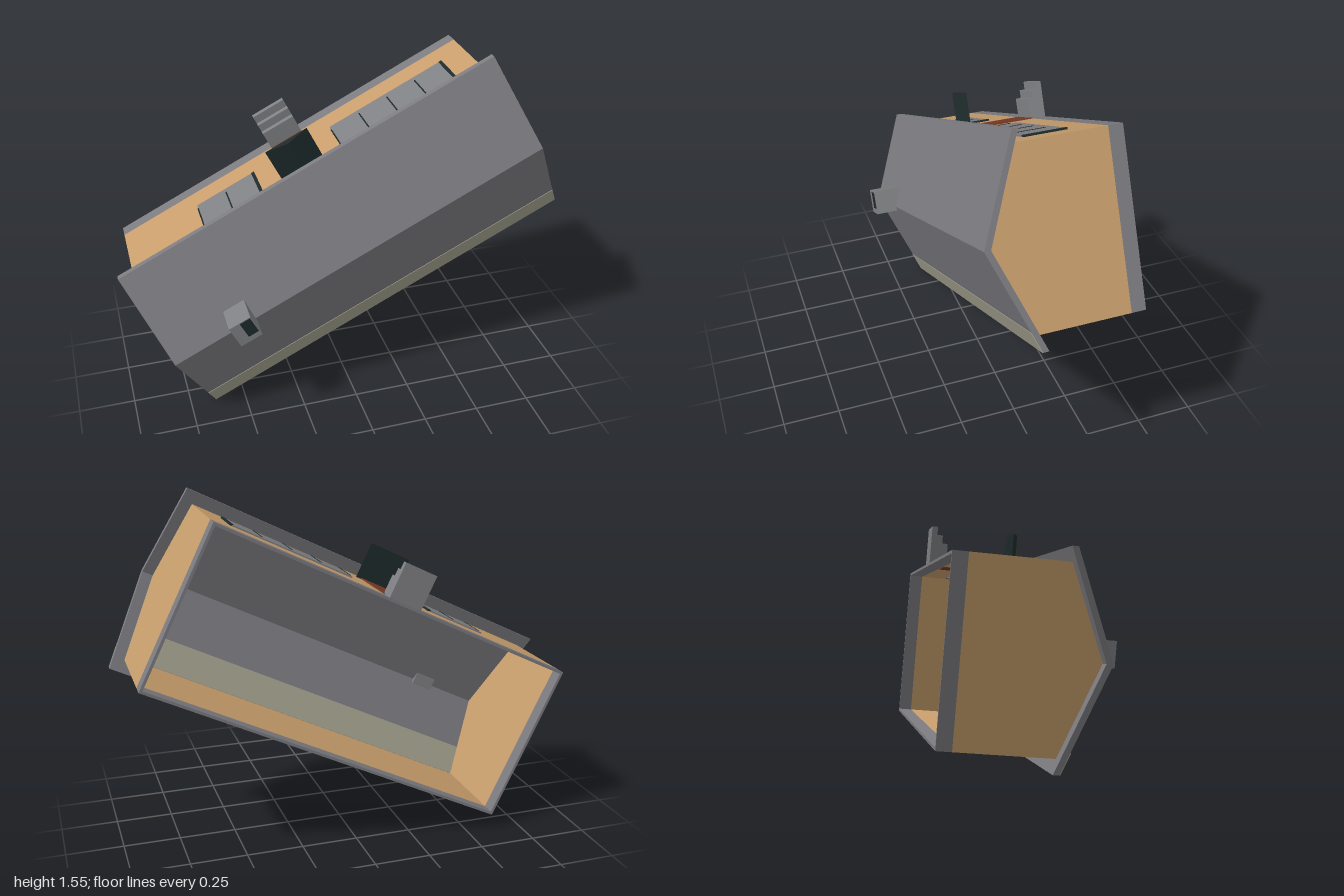
import * as THREE from 'three';

const mat = (name, color) => {
  const m = new THREE.MeshStandardMaterial({ color });
  m.name = name;
  return m;
};

export function createModel() {
  const orange = mat('orangeWall', 0xc89e6c);
  const grey = mat('roofGrey', 0x7c7b80);
  const stone = mat('stoneGrey', 0x808184);
  const pale = mat('paleStrip', 0xa3a18e);
  const dark = mat('darkTrim', 0x1e2a2a);
  const brown = mat('doorBrown', 0x783a26);

  // House frame: x along the ridge, y towards the door side, z up to the ridge
  const house = new THREE.Group();
  house.name = 'house';
  house.rotation.z = THREE.MathUtils.degToRad(26.15);
  house.position.set(0, 0.778, 0);

  const add = (name, geo, m) => {
    const mesh = new THREE.Mesh(geo, m);
    mesh.name = name;
    house.add(mesh);
    return mesh;
  };
  // Box given by its limits on each axis
  const box = (name, m, x0, x1, y0, y1, z0, z1) => {
    const g = new THREE.BoxGeometry(x1 - x0, y1 - y0, z1 - z0);
    g.translate((x0 + x1) / 2, (y0 + y1) / 2, (z0 + z1) / 2);
    return add(name, g, m);
  };
  const X = new THREE.Vector3(1, 0, 0);
  const Y = new THREE.Vector3(0, 1, 0);
  const Z = new THREE.Vector3(0, 0, 1);
  const extrude = (pts, depth) => new THREE.ExtrudeGeometry(
    new THREE.Shape(pts.map(p => new THREE.Vector2(...p))), { depth, bevelEnabled: false });
  // Cross-section in (y, z) swept along x
  const prismX = (name, m, pts, x0, x1) => {
    const g = extrude(pts, x1 - x0);
    g.applyMatrix4(new THREE.Matrix4().makeBasis(Y, Z, X));
    g.translate(x0, 0, 0);
    return add(name, g, m);
  };

  // Walls and foundation, hollow and open underneath
  const L = 0.864, W = 0.362, T = 0.012, base = -0.357, sill = -0.296;
  const gable = [[-W, sill], [W, sill], [W, 0.088], [0, 0.234], [-W, 0.088]];
  for (const s of [-1, 1]) {
    const xa = s > 0 ? L - T : -L, ya = s > 0 ? W - T : -W;
    prismX('gableWall', orange, gable, xa, xa + T);
    box('sideWall', orange, -L + T, L - T, ya, ya + T, sill, 0.088);
    box('foundationEnd', grey, xa, xa + T, -W, W, base, sill);
    box('foundationSide', grey, -L + T, L - T, ya, ya + T, base, sill);
  }

  // Pitched roof with overhang
  const R = 0.912, E = 0.416;
  prismX('roof', grey, [[-E, 0.07], [0, 0.235], [E, 0.07], [E, 0.095], [0, 0.262], [-E, 0.095]], -R, R);

  // Pale strip along the rear eave, outside and inside
  const top = y => 0.262 - 0.4014 * Math.abs(y);
  const under = y => 0.235 - 0.3966 * Math.abs(y);
  const skin = (name, f, ya, yb, lo, hi, len) => prismX(name, pale,
    [[ya, f(ya) + lo], [yb, f(yb) + lo], [yb, f(yb) + hi], [ya, f(ya) + hi]], -len, len);
  skin('eaveStrip', top, -E, -0.332, -0.001, 0.003, R);
  skin('innerRoofStrip', under, -W + T, -0.225, -0.003, 0.001, L - T);

  // Windows pass through the front wall, divided by dark bars
  for (const [x0, x1, panes] of [[-0.5, -0.215, 2], [0.18, 0.745, 4]]) {
    box('window', stone, x0, x1, W - T - 0.004, W + 0.006, -0.18, 0);
    for (let i = 0; i <= panes; i++) {
      const x = x0 + (x1 - x0) * i / panes;
      const h = i === panes ? 0.007 : 0.003;
      box('windowBar', dark, x - h, x + h, W - T - 0.005, W + 0.008, i === panes ? -0.18 : -0.15, 0);
    }
  }

  // Door with a small gabled canopy
  box('door', brown, -0.09, 0.065, W - T - 0.004, W + 0.005, sill, -0.001);
  const canopy = extrude([[-0.112, -0.002], [0.09, -0.002], [-0.011, 0.032]], 0.162);
  canopy.applyMatrix4(new THREE.Matrix4().makeBasis(X, Z, Y.clone().negate()));
  canopy.translate(0, 0.524, 0);
  add('doorCanopy', canopy, dark);

  // Steps
  [0.52, 0.485, 0.45].forEach((y, i) =>
    box('step', stone, -0.09, 0.065, W, y, base + i * 0.024, base + (i + 1) * 0.024));

  // Chimney with a dark flue
  box('chimney', stone, -0.615, -0.512, -0.02, 0.09, 0.22, 0.355);
  box('chimneyFlue', dark, -0.565, -0.516, 0.006, 0.086, 0.352, 0.357);

  const model = new THREE.Group();
  model.name = 'model';
  model.add(house);
  return model;
}
